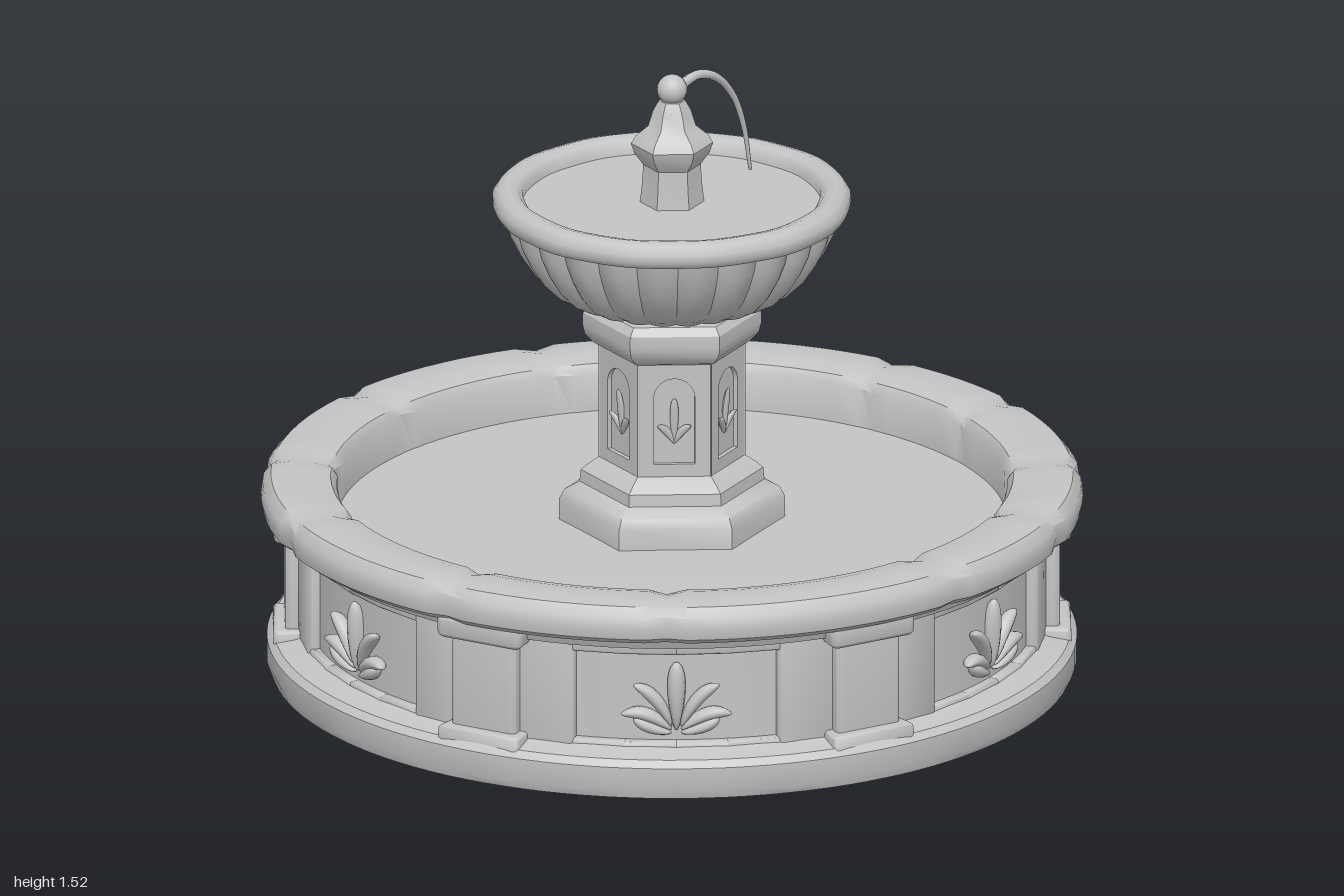
import * as THREE from 'three';
import { mergeVertices, toCreasedNormals } from 'three/addons/utils/BufferGeometryUtils.js';
import { RoundedBoxGeometry } from 'three/addons/geometries/RoundedBoxGeometry.js';

const stone = new THREE.MeshStandardMaterial({ color: 0xc4c4c4 });
stone.name = 'pale stone';
const TURN = -0.025; // slight twist of the six-fold wall

function add(parent, name, geometry) {
  const mesh = new THREE.Mesh(geometry, stone);
  mesh.name = name;
  parent.add(mesh);
  return mesh;
}

// Moves every vertex by a rule, then drops the old normals
function warp(geometry, rule) {
  const p = geometry.attributes.position, v = new THREE.Vector3();
  for (let i = 0; i < p.count; i++) {
    rule(v.fromBufferAttribute(p, i));
    p.setXYZ(i, v.x, v.y, v.z);
  }
  return geometry;
}

function lathe(points, segments, crease = 0.6, rule = () => {}) {
  const g = new THREE.LatheGeometry(points.map(([r, y]) => new THREE.Vector2(r, y)), segments);
  warp(g, rule).deleteAttribute('uv');
  g.computeVertexNormals();
  return toCreasedNormals(g, crease);
}

// Rounded block bent around the basin wall; z is measured outward from radius 0.9
function bentBlock(x, y0, y1, r0, r1, width, bevel = 0.012) {
  const g = new RoundedBoxGeometry(width, y1 - y0, r1 - r0, 3, bevel);
  warp(g, v => {
    const a = (v.x + x) / 0.9, r = v.z + (r0 + r1) / 2;
    v.set(Math.sin(a) * r, v.y + (y0 + y1) / 2, Math.cos(a) * r);
  });
  g.deleteAttribute('uv');
  g.deleteAttribute('normal');
  const m = mergeVertices(g, 1e-4);
  m.computeVertexNormals();
  return toCreasedNormals(m, 0.9);
}

// Tapered leaf growing along +y, bending sideways and curling outward at the tip
function leafGeometry(length, width, depth, bend) {
  const g = new THREE.SphereGeometry(1, 12, 12);
  warp(g, v => {
    const t = (v.y + 1) / 2, swell = 0.55 + 0.6 * t;
    v.set(v.x * width * swell + bend * t * t, t * length - Math.abs(bend) * 0.5 * t * t * t,
      v.z * depth + 0.012 * t * t);
  });
  g.computeVertexNormals();
  return g;
}

// Fan of leaves with two low curls
function ornament() {
  const group = new THREE.Group();
  group.name = 'leafOrnament';
  add(group, 'centreLeaf', leafGeometry(0.18, 0.025, 0.026, 0)).position.y = 0.145;
  for (const s of [-1, 1]) {
    const specs = [[0.16, 0.02, 0.35, 0.045], [0.145, 0.021, 0.8, 0.05], [0.11, 0.018, 1.35, -0.02]];
    specs.forEach(([len, w, tilt, bend], i) => {
      const leaf = add(group, 'sideLeaf', leafGeometry(len, w, 0.024, s * bend));
      leaf.position.set(s * 0.012, 0.155 - i * 0.008, 0);
      leaf.rotation.z = -s * tilt;
    });
  }
  return group;
}

function basin() {
  const group = new THREE.Group();
  group.name = 'basin';
  // Joints between rim stones, as segment numbers out of 120
  const joints = [4, 13, 21, 30, 38, 49, 56, 67, 77, 86, 98, 109];
  const notch = (v, depth) => {
    const a = Math.atan2(v.x, v.z), seg = (Math.round(a / (Math.PI / 60)) + 120) % 120;
    if (!joints.includes(seg)) return;
    const r = Math.hypot(v.x, v.z), k = r > 0.9 ? 1 - depth / r : 1 + depth / r;
    v.x *= k; v.z *= k;
    if (v.y > 0.48) v.y -= depth * 0.6;
  };
  add(group, 'plinth', lathe([[0, 0], [0.975, 0], [0.985, 0.015], [0.985, 0.08], [0.97, 0.097],
    [0.92, 0.105], [0.88, 0.12]], 120, 0.6, v => {
    // Worn lower edge
    const a = Math.atan2(v.x, v.z);
    if (v.y > 0.001 && v.y < 0.05) v.y += 0.012 * (1 + Math.sin(a * 17) * Math.sin(a * 7));
  }));
  add(group, 'wall', lathe([[0.885, 0.1], [0.885, 0.385]], 96));
  add(group, 'rim', lathe([[0.88, 0.36], [0.925, 0.368], [0.935, 0.39], [0.975, 0.4], [0.995, 0.415],
    [1, 0.44], [0.995, 0.47], [0.975, 0.493], [0.93, 0.5], [0.87, 0.497], [0.83, 0.487], [0.815, 0.465],
    [0.815, 0.36]], 120, 0.7, v => { if (v.y > 0.395) notch(v, 0.012); }));
  add(group, 'basinFloor', lathe([[0.83, 0.37], [0.5, 0.372], [0, 0.385]], 64));

  for (let i = 0; i < 6; i++) {
    const bay = new THREE.Group();
    bay.name = 'wallBay';
    bay.rotation.y = i * Math.PI / 3 + TURN;
    group.add(bay);
    // Pilaster with foot and cap
    add(bay, 'pilaster', bentBlock(0, 0.08, 0.39, 0.86, 0.945, 0.17));
    add(bay, 'pilasterFoot', bentBlock(0, 0.06, 0.125, 0.86, 0.975, 0.21));
    add(bay, 'pilasterCap', bentBlock(0, 0.35, 0.415, 0.86, 0.975, 0.22, 0.018));
    // Raised frame around the carved panel
    const mid = Math.PI / 6 * 0.9;
    for (const s of [-1, 1]) {
      add(bay, 'panelStile', bentBlock(mid + s * 0.325, 0.09, 0.38, 0.86, 0.913, 0.15));
      for (const e of [0, 0.125]) {
        add(bay, 'topRail', bentBlock(mid + s * (0.063 + e), 0.345, 0.385, 0.86, 0.91, 0.14, 0.008));
        add(bay, 'bottomRail', bentBlock(mid + s * (0.063 + e), 0.09, 0.12, 0.86, 0.91, 0.14, 0.008));
      }
    }
    const carving = ornament();
    carving.position.set(Math.sin(Math.PI / 6) * 0.886, 0, Math.cos(Math.PI / 6) * 0.886);
    carving.rotation.y = Math.PI / 6;
    bay.add(carving);
  }
  return group;
}

function column() {
  const group = new THREE.Group();
  group.name = 'column';
  add(group, 'foot', lathe([[0.275, 0.36], [0.275, 0.43], [0.262, 0.455], [0.225, 0.475], [0.222, 0.505],
    [0.205, 0.52], [0.175, 0.54]], 6));
  add(group, 'shaft', lathe([[0.165, 0.5], [0.165, 0.85]], 6));
  add(group, 'cap', lathe([[0.165, 0.82], [0.19, 0.832], [0.212, 0.855], [0.218, 0.88], [0.217, 0.91],
    [0.2, 0.93], [0.14, 0.936]], 6));
  add(group, 'neck', lathe([[0.13, 0.92], [0.13, 0.94], [0.15, 0.97]], 32));
  // Arched niche frame on each side of the shaft
  const frame = new THREE.Shape();
  frame.moveTo(-0.09, 0.52).lineTo(0.09, 0.52).lineTo(0.09, 0.835).lineTo(-0.09, 0.835).closePath();
  const niche = new THREE.Path();
  niche.moveTo(-0.05, 0.57).lineTo(-0.05, 0.74).absarc(0, 0.74, 0.05, Math.PI, 0, true).lineTo(0.05, 0.57).closePath();
  frame.holes.push(niche);
  const frameGeometry = new THREE.ExtrudeGeometry(frame, { depth: 0.014, bevelEnabled: false, curveSegments: 10 });
  for (let i = 0; i < 6; i++) {
    const side = new THREE.Group();
    side.name = 'columnSide';
    side.rotation.y = (i + 0.5) * Math.PI / 3;
    group.add(side);
    add(side, 'nicheFrame', frameGeometry).position.z = 0.14;
    for (const s of [-1, 0, 1]) {
      const leaf = add(side, 'nicheLeaf', leafGeometry(s ? 0.07 : 0.12, 0.012, 0.008, s * 0.015));
      leaf.position.set(0, 0.62, 0.143);
      leaf.rotation.z = -s * 0.4;
    }
  }
  return group;
}

function upperBowl() {
  const group = new THREE.Group();
  group.name = 'upperBowl';
  // Gadrooned underside with 24 lobes
  add(group, 'flutedBowl', lathe([[0.12, 0.955], [0.2, 0.95], [0.25, 0.96], [0.295, 0.985], [0.335, 1.025],
    [0.368, 1.075], [0.392, 1.125], [0.405, 1.175]], 192, 0.8, v => {
    const r = Math.hypot(v.x, v.z), a = Math.atan2(v.x, v.z);
    if (r < 0.15) return;
    const k = 1 + 0.055 * (Math.abs(Math.sin(a * 12)) - 0.75);
    v.x *= k; v.z *= k;
  }));
  add(group, 'bowlRim', lathe([[0.39, 1.165], [0.425, 1.17], [0.435, 1.185], [0.435, 1.205], [0.422, 1.225],
    [0.4, 1.232], [0.375, 1.225], [0.362, 1.21], [0.36, 1.18]], 72, 0.9, v => {
    // Uneven, hand-cut outline
    const a = Math.atan2(v.x, v.z), k = 1 + 0.008 * Math.sin(a * 9) * Math.sin(a * 4 + 1);
    v.x *= k; v.z *= k;
  }));
  add(group, 'bowlFloor', lathe([[0.375, 1.19], [0, 1.195]], 48));
  return group;
}

function spout() {
  const group = new THREE.Group();
  group.name = 'spout';
  add(group, 'nozzle', lathe([[0.08, 1.18], [0.073, 1.24], [0.07, 1.29], [0.092, 1.32], [0.1, 1.345],
    [0.088, 1.365], [0.058, 1.39], [0.046, 1.43], [0.032, 1.455], [0, 1.46]], 6));
  const ball = add(group, 'spoutBall', new THREE.SphereGeometry(0.037, 20, 14));
  ball.position.y = 1.483;
  // Arc of water, thin and tapering toward the bowl
  const path = new THREE.CatmullRomCurve3([[0.02, 1.487, 0], [0.08, 1.5, -0.016], [0.15, 1.475, -0.035],
    [0.21, 1.41, -0.055], [0.25, 1.32, -0.07], [0.275, 1.2, -0.08]].map(p => new THREE.Vector3(...p)));
  const jet = new THREE.TubeGeometry(path, 32, 0.012, 8);
  const p = jet.attributes.position, c = new THREE.Vector3(), v = new THREE.Vector3();
  for (let i = 0; i < p.count; i++) {
    const t = Math.floor(i / 9) / 32;
    path.getPointAt(t, c);
    v.fromBufferAttribute(p, i).sub(c).multiplyScalar(1.1 - 0.75 * t).add(c);
    p.setXYZ(i, v.x, v.y, v.z);
  }
  jet.computeVertexNormals();
  add(group, 'waterJet', jet);
  return group;
}

export function createModel() {
  const fountain = new THREE.Group();
  fountain.name = 'fountain';
  fountain.add(basin(), column(), upperBowl(), spout());
  return fountain;
}
